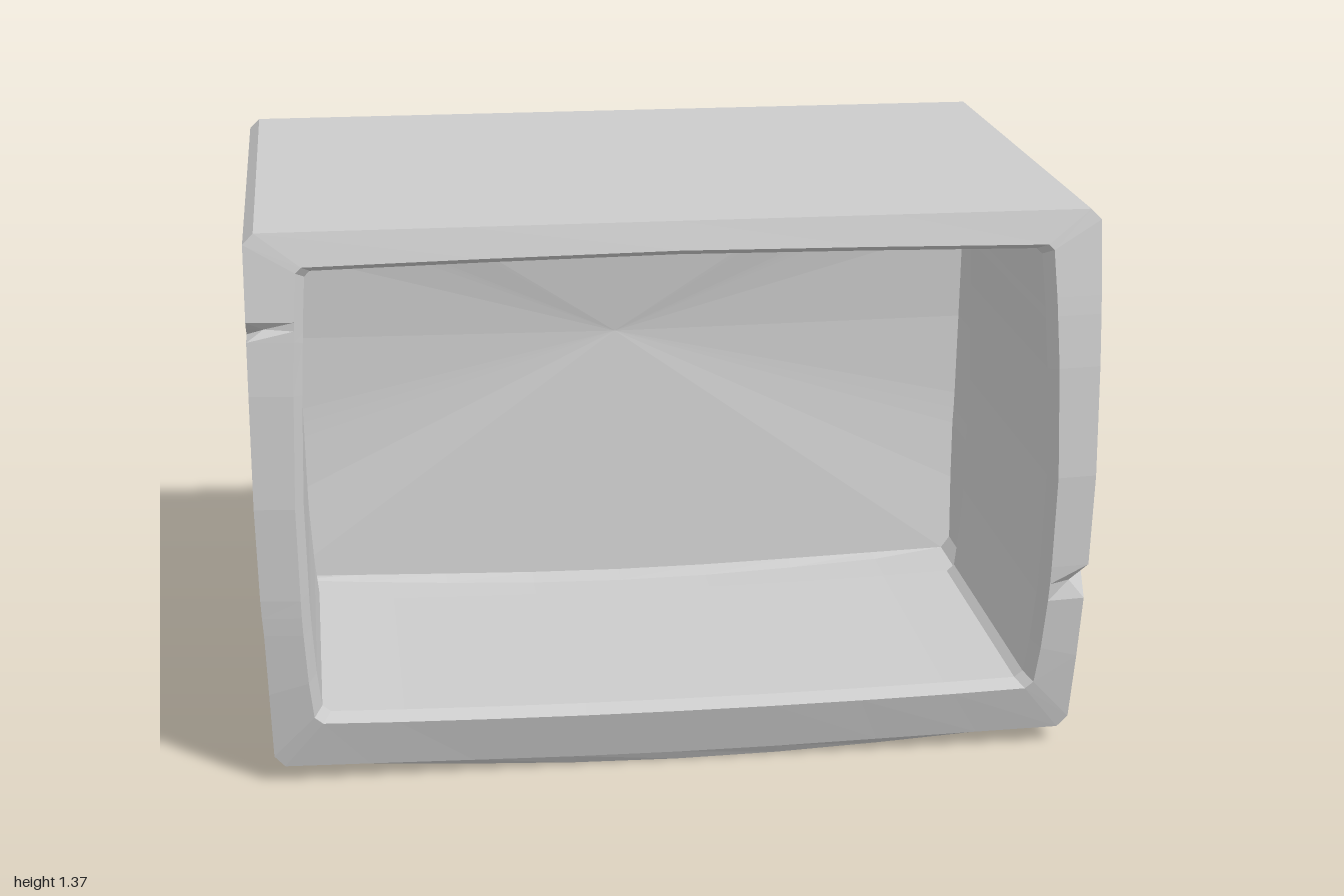
import * as THREE from 'three';

// Half outlines, from bottom centre up the +x side to top centre (x, y).
const OUTER = [
  [0, 0], [0.25, 0.004], [0.5, 0.015], [0.75, 0.03], [0.955, 0.045], [0.98, 0.075],
  [0.985, 0.25], [0.99, 0.41], [0.993, 0.455], [0.995, 0.5], [1, 0.73], [1, 1.0],
  [1, 1.125], [1, 1.15], [1, 1.17], [1, 1.345], [0.975, 1.37], [0.5, 1.37], [0, 1.37],
];
const RIM = [
  [0, 0.152], [0.23, 0.153], [0.45, 0.156], [0.68, 0.161], [0.86, 0.167], [0.88, 0.185],
  [0.89, 0.28], [0.898, 0.41], [0.9, 0.455], [0.901, 0.5], [0.905, 0.73], [0.898, 1.0],
  [0.892, 1.125], [0.891, 1.15], [0.89, 1.17], [0.883, 1.28], [0.87, 1.293], [0.45, 1.3], [0, 1.305],
];
const LAST = OUTER.length - 1;

// Barrel curve shared by the front and the back.
const bulge = (y) => 0.717 - 0.16 * (y - 0.72) ** 2;

// Mirrors a half outline into a closed ring; place(x, y, index, side) gives each point.
function ring(half, place) {
  const points = half.map(([x, y], i) => place(x, y, i, 1));
  for (let i = LAST - 1; i > 0; i--) points.push(place(-half[i][0], half[i][1], i, -1));
  return points;
}

// Skins a list of rings, with an optional fan to a closing point.
function skin(name, rings, tip) {
  const pos = [];
  const tri = (...corners) => corners.forEach((c) => pos.push(...c));
  const n = rings[0].length;
  for (let i = 0; i < n; i++) {
    const j = (i + 1) % n;
    for (let r = 0; r + 1 < rings.length; r++) {
      const a = rings[r], b = rings[r + 1];
      tri(a[i], b[i], b[j]);
      tri(a[i], b[j], a[j]);
    }
    const end = rings[rings.length - 1];
    if (tip) tri(end[i], tip, end[j]);
  }
  const geometry = new THREE.BufferGeometry();
  geometry.setAttribute('position', new THREE.Float32BufferAttribute(pos, 3));
  geometry.computeVertexNormals();
  const mesh = new THREE.Mesh(geometry, new THREE.MeshStandardMaterial({
    color: 0xcccccc, flatShading: true, side: THREE.DoubleSide,
  }));
  mesh.name = name;
  return mesh;
}

export function createModel() {
  const group = new THREE.Group();
  group.name = 'cabinet';

  // The bowed underside is bevelled up towards the front and back edges.
  const lift = (x, y, i) => (i < 5 ? y + 0.025 * (1 - (x / 0.955) ** 2) : y);
  // One chipped notch on each side of the front edge.
  const isNotch = (i, side) => i === (side > 0 ? 8 : 13);

  const opening = (x, y) => [x * 0.978, 0.73 + (y - 0.73) * 0.97];
  const tunnelEnd = ring(RIM, (x, y) => [...opening(x, y), -0.1]);
  const tunnelFront = ring(RIM, (x, y) => [...opening(x, y), bulge(y) - 0.035]);
  const rim = ring(RIM, (x, y) => [x, y, bulge(y)]);
  const frontEdge = ring(OUTER, (x, y, i, side) => {
    const notch = isNotch(i, side);
    return [x - (notch ? side * 0.04 : 0), lift(x, y, i), bulge(y) - (notch ? 0.025 : 0.01)];
  });
  const shellFront = ring(OUTER, (x, y, i, side) => [x, y, isNotch(i, side) ? 0.65 : 0.61]);
  const shellBack = ring(OUTER, (x, y) => [x, y, -0.61]);
  const backEdge = ring(OUTER, (x, y, i) => [x, lift(x, y, i), -bulge(y)]);

  group.add(
    skin('innerSleeve', [tunnelEnd, tunnelFront]),
    skin('frontFrame', [tunnelFront, rim, frontEdge]),
    skin('outerShell', [frontEdge, shellFront, shellBack, backEdge]),
    skin('backPanel', [backEdge], [0, 0.72, -0.717]),
  );
  return group;
}
